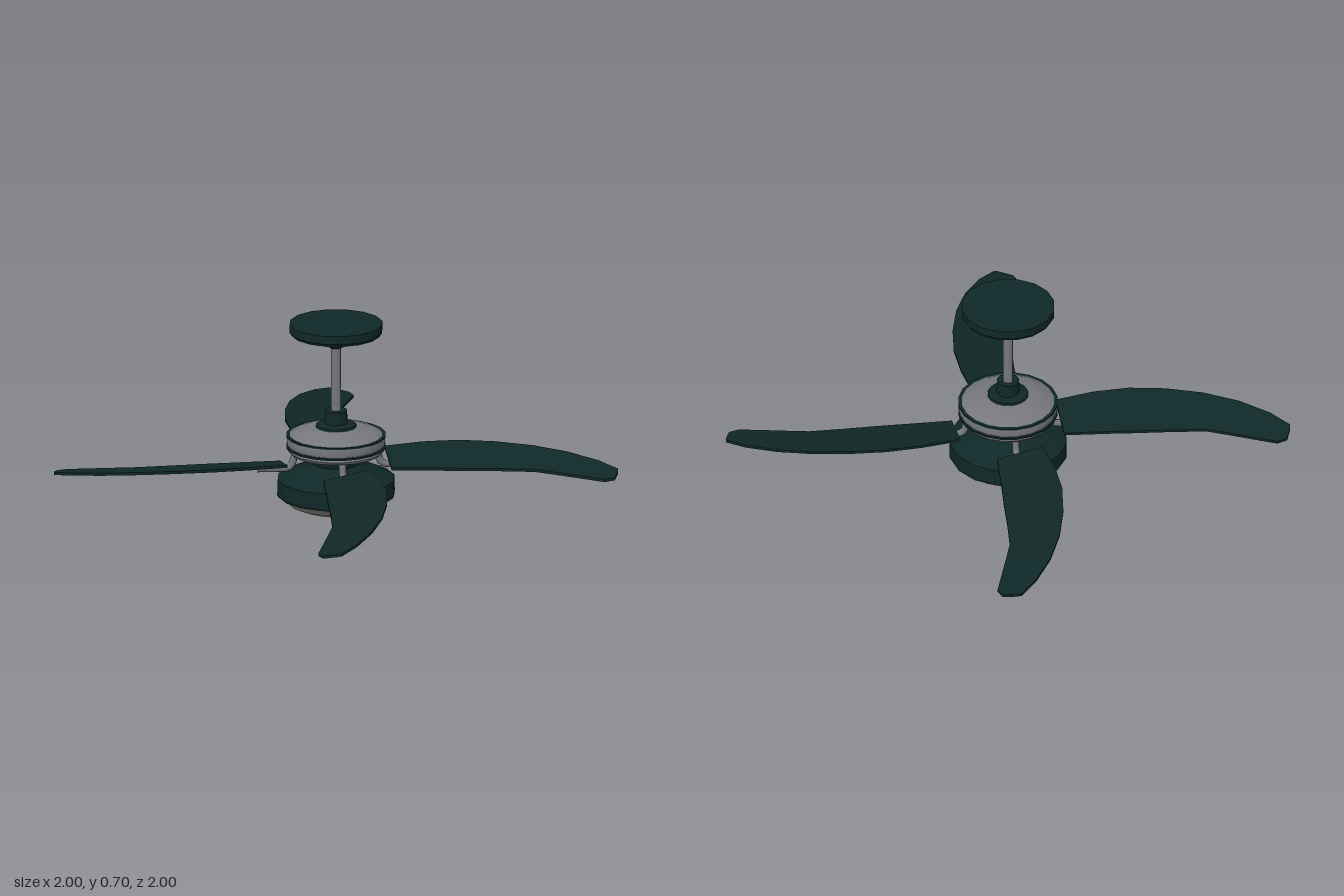
import * as THREE from 'three';
import { toCreasedNormals } from 'three/addons/utils/BufferGeometryUtils.js';

const mat = (name, color, side = THREE.FrontSide) => {
  const m = new THREE.MeshStandardMaterial({ color, side });
  m.name = name;
  return m;
};

// Blade plan: [leading x, leading z, trailing x, trailing z] from root to tip
const BLADE = [
  [0.19, -0.09, 0.19, 0.075],
  [0.33, -0.11, 0.34, 0.088],
  [0.46, -0.112, 0.46, 0.1],
  [0.59, -0.092, 0.58, 0.11],
  [0.72, -0.055, 0.7, 0.123],
  [0.84, 0.0, 0.78, 0.152],
  [0.94, 0.07, 0.86, 0.182],
  [1.0, 0.135, 0.94, 0.212],
  [0.998, 0.15, 0.978, 0.2],
];

// Pitched, slightly drooping plate lofted along the blade plan
function bladeGeometry() {
  const height = (x, z) => 0.184 - 0.012 * x * x - 0.2 * z;
  const half = 0.005, pos = [], idx = [];
  for (const [lx, lz, tx, tz] of BLADE) {
    for (const [x, z, s] of [[lx, lz, 1], [tx, tz, 1], [tx, tz, -1], [lx, lz, -1]]) {
      pos.push(x, height(x, z) + s * half, z);
    }
  }
  const n = BLADE.length;
  for (let i = 0; i < n - 1; i++) {
    for (let k = 0; k < 4; k++) {
      const a = i * 4 + k, b = i * 4 + (k + 1) % 4;
      idx.push(a, b, b + 4, a, b + 4, a + 4);
    }
  }
  const e = (n - 1) * 4;
  idx.push(0, 2, 1, 0, 3, 2, e, e + 1, e + 2, e, e + 2, e + 3);
  const g = new THREE.BufferGeometry();
  g.setAttribute('position', new THREE.Float32BufferAttribute(pos, 3));
  g.setIndex(idx);
  return toCreasedNormals(g, 0.6);
}

export function createModel() {
  const dark = mat('dark green enamel', 0x0f2827);
  const bladeMat = mat('blade green', 0x0f2827, THREE.DoubleSide);
  const metal = mat('brushed metal', 0x76787b);
  const glass = mat('frosted glass', 0x8a8c88);
  const group = new THREE.Group();
  group.name = 'ceilingFan';

  const add = (name, geometry, material, parent = group) => {
    const mesh = new THREE.Mesh(geometry, material);
    mesh.name = name;
    parent.add(mesh);
    return mesh;
  };
  // Turned part; profile runs from bottom to top as [radius, y]
  const turned = (name, profile, material, sides = 16) => {
    const pts = profile.map(([r, y]) => new THREE.Vector2(r, y));
    return add(name, toCreasedNormals(new THREE.LatheGeometry(pts, sides), 0.55), material);
  };

  // Ceiling mount and rod
  turned('ceilingCanopy', [[0, 0.612], [0.025, 0.612], [0.04, 0.63], [0.045, 0.642],
    [0.1, 0.65], [0.16, 0.661], [0.163, 0.668], [0.168, 0.672], [0.168, 0.702], [0, 0.702]], dark);
  turned('downRod', [[0.018, 0.33], [0.018, 0.63]], metal, 12);
  turned('rodCollar', [[0, 0.31], [0.075, 0.31], [0.072, 0.324], [0.042, 0.33],
    [0.04, 0.377], [0, 0.377]], dark);

  // Motor housing with two dark seams
  turned('motorHousing', [[0, 0.212], [0.135, 0.212], [0.165, 0.22], [0.174, 0.232], [0.168, 0.243],
    [0.175, 0.25], [0.178, 0.265], [0.175, 0.282], [0.15, 0.297], [0.11, 0.311],
    [0.06, 0.318], [0, 0.318]], metal, 20);
  for (const [name, y] of [['lowerSeam', 0.243], ['upperSeam', 0.284]]) {
    turned(name, [[0.165, y - 0.003], [0.179, y - 0.003], [0.179, y + 0.003], [0.165, y + 0.003]], dark, 20);
  }

  // Light fitting below the motor
  turned('lightHousing', [[0, 0.06], [0.208, 0.06], [0.213, 0.068], [0.211, 0.125], [0.17, 0.145],
    [0.11, 0.163], [0.085, 0.18], [0.09, 0.2], [0.098, 0.213]], dark);
  turned('lightGlass', [[0, 0], [0.07, 0.003], [0.125, 0.013], [0.17, 0.032], [0.2, 0.061]], glass, 20);

  // Four arms and blades
  const blade = bladeGeometry();
  const armPath = new THREE.CatmullRomCurve3([
    [0.135, 0.22], [0.152, 0.21], [0.157, 0.185], [0.172, 0.17], [0.2, 0.168], [0.285, 0.17],
  ].map(([x, y]) => new THREE.Vector3(x, y, 0)));
  const arm = new THREE.TubeGeometry(armPath, 14, 0.013, 8);
  const plate = new THREE.BoxGeometry(0.09, 0.008, 0.034).translate(0.24, 0.174, 0);
  for (let i = 0; i < 4; i++) {
    const unit = new THREE.Group();
    unit.name = 'bladeUnit' + (i + 1);
    unit.rotation.y = -i * Math.PI / 2;
    add('blade', blade, bladeMat, unit);
    add('bladeArm', arm, metal, unit);
    add('armPlate', plate, metal, unit);
    group.add(unit);
  }
  return group;
}
